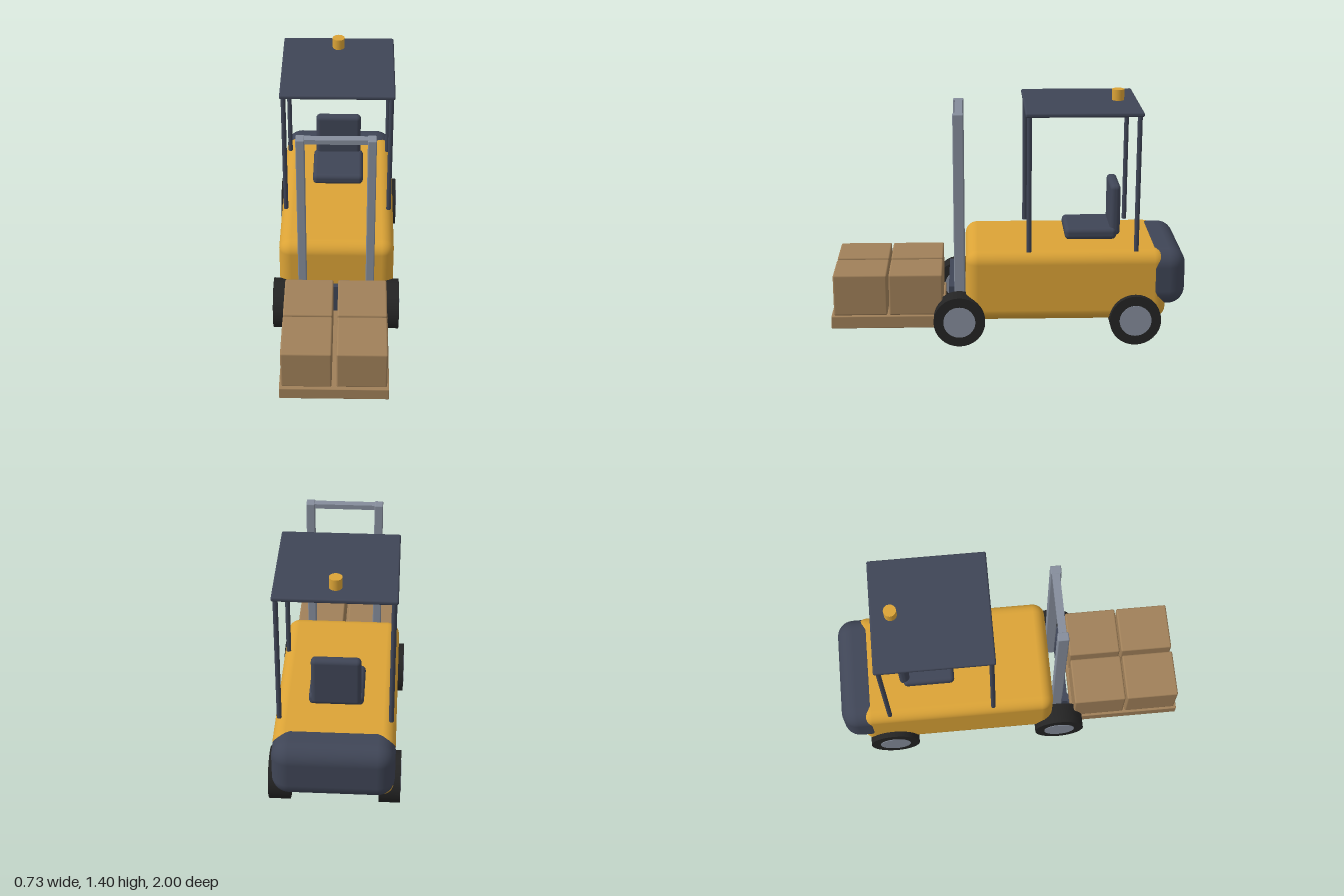
import * as THREE from 'three';
import { RoundedBoxGeometry } from 'three/addons/geometries/RoundedBoxGeometry.js';

const mat = (name, color) => {
  const m = new THREE.MeshStandardMaterial({ color });
  m.name = name;
  return m;
};

export function createModel() {
  const yellow = mat('yellow paint', 0xdba336);
  const dark = mat('dark slate', 0x3f4556);
  const steel = mat('grey steel', 0x858d9b);
  const rubber = mat('black rubber', 0x242424);
  const wood = mat('cardboard and wood', 0xa08059);

  const group = new THREE.Group();
  group.name = 'forklift';

  const add = (name, geometry, material, parent = group) => {
    const mesh = new THREE.Mesh(geometry, material);
    mesh.name = name;
    parent.add(mesh);
    return mesh;
  };

  // Box given by its extents, rounded when r > 0
  const block = (name, material, [x0, x1], [y0, y1], [z0, z1], r = 0) => {
    const w = x1 - x0, h = y1 - y0, d = z1 - z0;
    const geo = r ? new RoundedBoxGeometry(w, h, d, 4, r) : new THREE.BoxGeometry(w, h, d);
    const mesh = add(name, geo, material);
    mesh.position.set((x0 + x1) / 2, (y0 + y1) / 2, (z0 + z1) / 2);
    return mesh;
  };

  // Chassis and counterweight
  block('body', yellow, [-0.33, 0.33], [0.13, 0.54], [-0.89, 0.24], 0.07);
  block('counterweight', dark, [-0.331, 0.331], [0.21, 0.541], [-1, -0.745], 0.095);

  // Seat
  block('seatCushion', dark, [-0.15, 0.15], [0.555, 0.622], [-0.62, -0.326], 0.025);
  block('seatBack', dark, [-0.135, 0.135], [0.575, 0.872], [-0.641, -0.583], 0.025);

  // Overhead guard with beacon
  block('roof', dark, [-0.323, 0.323], [1.309, 1.335], [-0.737, -0.092], 0.01);
  for (const x of [-0.302, 0.302]) {
    for (const z of [-0.114, -0.714]) {
      add('roofPost', new THREE.CylinderGeometry(0.0135, 0.0135, 0.775, 12), dark).position.set(x, 0.928, z);
    }
  }
  add('beacon', new THREE.CylinderGeometry(0.035, 0.035, 0.062, 16), yellow).position.set(0, 1.368, -0.625);

  // Wheels: tyre with hub showing slightly on both faces
  for (const side of [-1, 1]) {
    for (const z of [0.277, -0.715]) {
      const wheel = new THREE.Group();
      wheel.name = z > 0 ? 'frontWheel' : 'rearWheel';
      wheel.position.set(side * 0.303, 0.145, z);
      wheel.rotation.z = Math.PI / 2;
      add('tyre', new THREE.CylinderGeometry(0.145, 0.145, 0.118, 32), rubber, wheel);
      add('hub', new THREE.CylinderGeometry(0.09, 0.09, 0.124, 32), steel, wheel);
      group.add(wheel);
    }
  }

  // Mast
  for (const s of [-1, 1]) {
    const x = s * 0.193;
    block('mastRail', steel, [x - 0.024, x + 0.024], [0.045, 1.306], [0.245, 0.305], 0.006);
  }
  block('mastCrossbar', steel, [-0.2, 0.2], [1.276, 1.304], [0.252, 0.294]);

  // Carriage and forks
  block('carriage', dark, [-0.24, 0.24], [0.075, 0.315], [0.303, 0.335]);
  for (const s of [-1, 1]) {
    const x = s * 0.152;
    block('fork', dark, [x - 0.028, x + 0.028], [0.066, 0.09], [0.31, 0.975]);
  }

  // Pallet with four cartons
  block('pallet', wood, [-0.298, 0.298], [0.09, 0.162], [0.36, 1], 0.004);
  for (const x of [-0.15, 0.15]) {
    for (const z of [0.522, 0.834]) {
      block('carton', wood, [x - 0.137, x + 0.137], [0.163, 0.404], [z - 0.151, z + 0.151], 0.01);
    }
  }

  return group;
}
